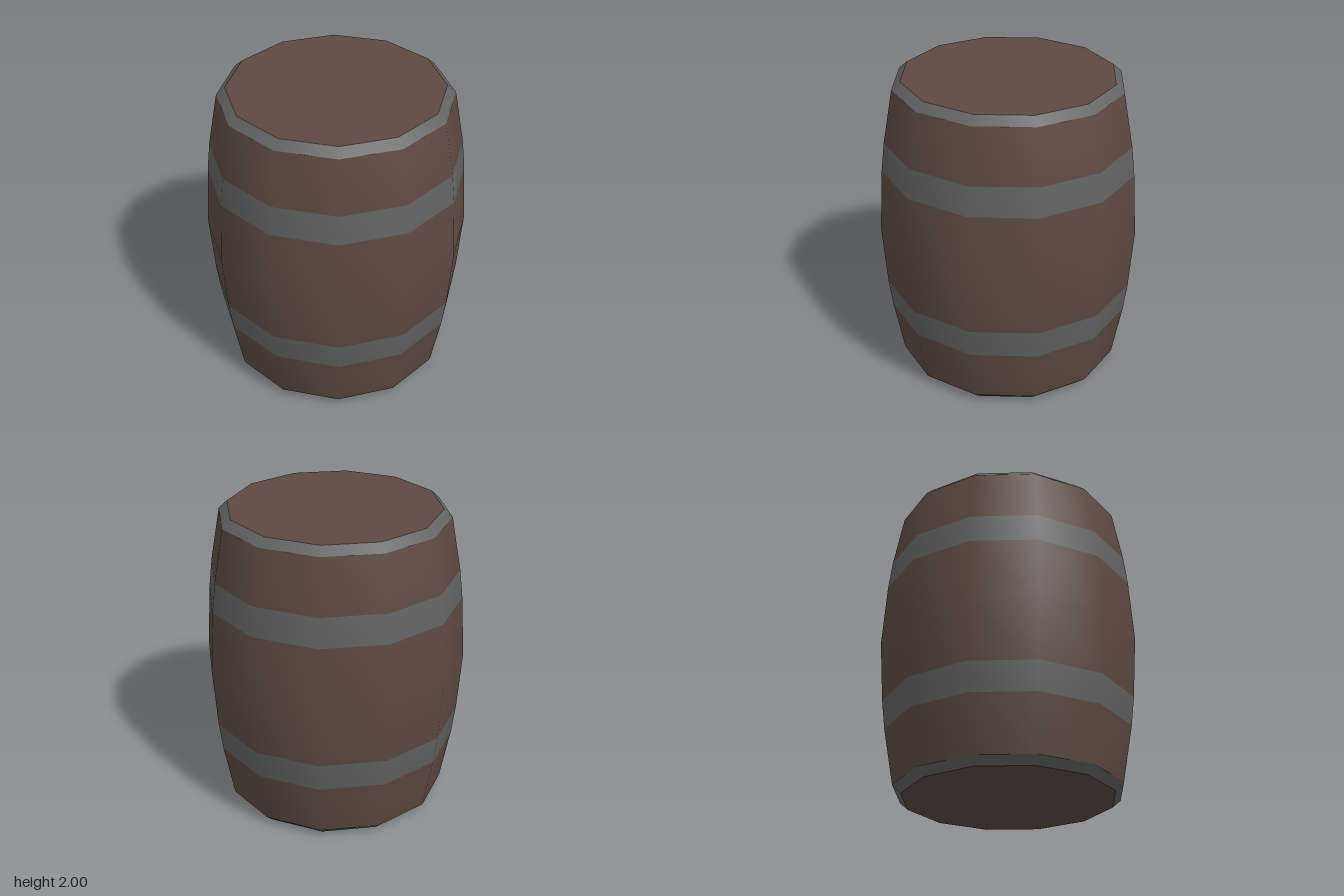
import * as THREE from 'three';

const SIDES = 12;

export function createModel() {
  const wood = new THREE.MeshStandardMaterial({ color: 0x5e4a42 });
  wood.name = 'brown wood';
  const iron = new THREE.MeshStandardMaterial({ color: 0x626262 });
  iron.name = 'grey iron';

  const barrel = new THREE.Group();
  barrel.name = 'barrel';

  const add = (name, geometry, material) => {
    const mesh = new THREE.Mesh(geometry, material);
    mesh.name = name;
    barrel.add(mesh);
    return mesh;
  };

  // Ring of the barrel side from [radius, height] points, bottom to top
  const ring = (points) =>
    new THREE.LatheGeometry(points.map(([r, y]) => new THREE.Vector2(r, y)), SIDES);

  // Smooth normals that follow the bulge, so shading runs on across the bands
  const smoothBulge = (geometry) => {
    const { position, normal } = geometry.attributes;
    const n = new THREE.Vector3();
    for (let i = 0; i < position.count; i++) {
      n.set(position.getX(i), 0, position.getZ(i)).normalize();
      n.y = 0.25 * (position.getY(i) - 1);
      n.normalize();
      normal.setXYZ(i, n.x, n.y, n.z);
    }
    return geometry;
  };

  // Staves and hoops share one bulging profile
  const bands = [
    ['lowerStaves', wood, [[0.735, 0.05], [0.8, 0.41]]],
    ['lowerHoop', iron, [[0.8, 0.41], [0.823, 0.6]]],
    ['middleStaves', wood, [[0.823, 0.6], [0.85, 1], [0.823, 1.41]]],
    ['upperHoop', iron, [[0.823, 1.41], [0.8, 1.6]]],
    ['upperStaves', wood, [[0.8, 1.6], [0.735, 1.95]]],
  ];
  for (const [name, material, points] of bands) add(name, smoothBulge(ring(points)), material);

  // Bevelled iron rims
  add('bottomRim', ring([[0.68, 0], [0.735, 0.05]]), iron);
  add('topRim', ring([[0.735, 1.95], [0.68, 2]]), iron);

  // Flat wooden ends
  for (const [name, y, turn] of [['lid', 2, -1], ['base', 0, 1]]) {
    const end = add(name, new THREE.CircleGeometry(0.68, SIDES), wood);
    end.rotation.x = turn * Math.PI / 2;
    end.position.y = y;
  }

  return barrel;
}
